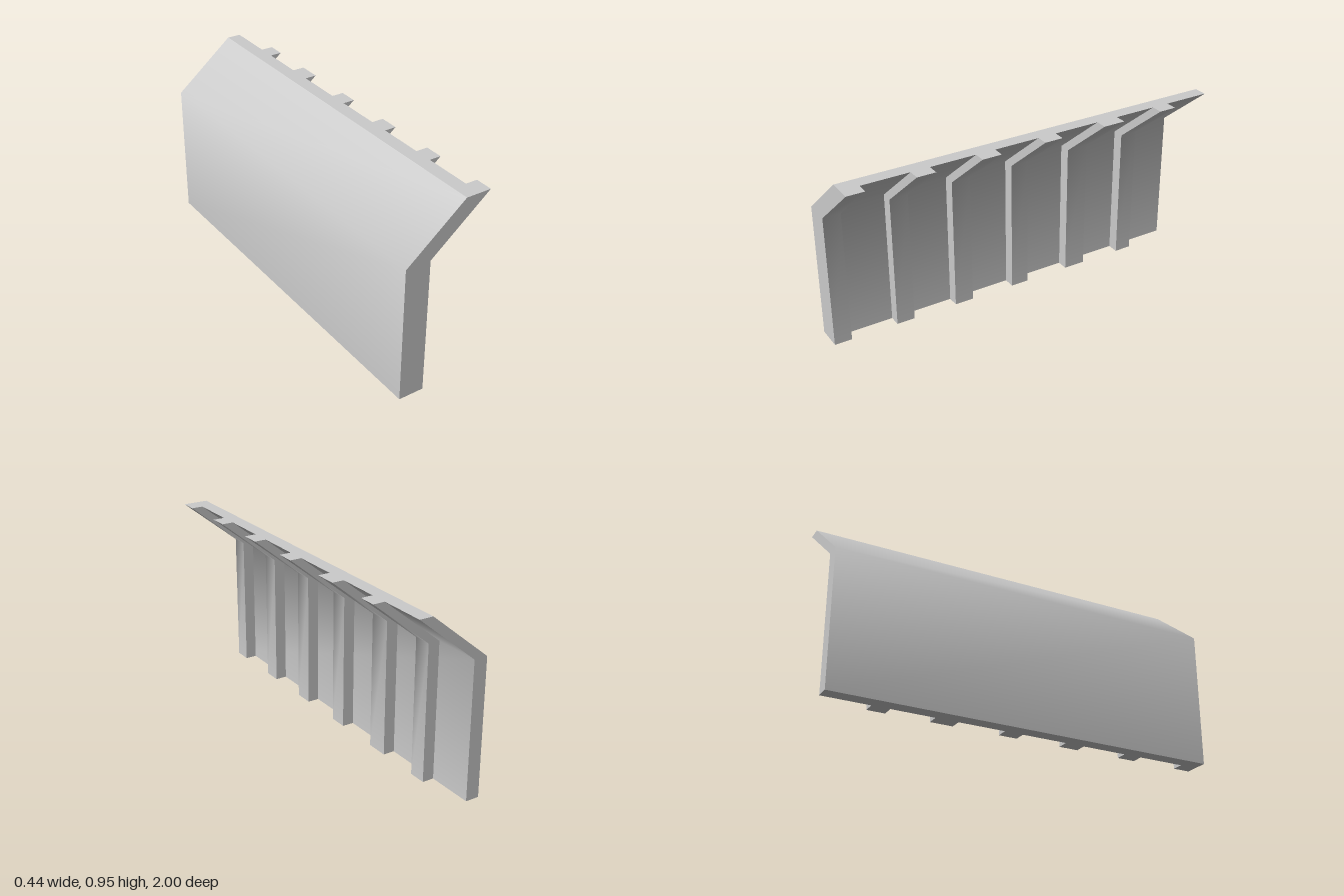
import * as THREE from 'three';
import { toCreasedNormals } from 'three/addons/utils/BufferGeometryUtils.js';

const BEND_Y = 0.7, TOP_Y = 0.95, LEAN = 0.305;

// A slab between x0 and x1 that rises straight, then leans towards +x above the bend
function bentSlab(x0, x1, z0, z1) {
  const profile = new THREE.Shape([
    [x0, 0], [x1, 0], [x1, BEND_Y], [x1 + LEAN, TOP_Y], [x0 + LEAN, TOP_Y], [x0, BEND_Y],
  ].map(([x, y]) => new THREE.Vector2(x, y)));
  const extruded = new THREE.ExtrudeGeometry(profile, { depth: z1 - z0, bevelEnabled: false });
  extruded.translate(0, 0, z0);

  // Smooth across the bend, but keep the top rim sharp
  const geometry = toCreasedNormals(extruded, 0.95);
  const pos = geometry.attributes.position, nor = geometry.attributes.normal;
  const tri = new THREE.Triangle(), n = new THREE.Vector3();
  for (let i = 0; i < pos.count; i += 3) {
    tri.setFromAttributeAndIndices(pos, i, i + 1, i + 2).getNormal(n);
    for (let k = i; k < i + 3; k++) {
      if (pos.getY(k) > TOP_Y - 1e-4) nor.setXYZ(k, n.x, n.y, n.z);
    }
  }
  return geometry;
}

export function createModel() {
  const group = new THREE.Group();
  group.name = 'ribbedWallPanel';
  const material = new THREE.MeshStandardMaterial({ color: 0xcccccc });
  const add = (name, geometry) => {
    const mesh = new THREE.Mesh(geometry, material);
    mesh.name = name;
    group.add(mesh);
  };

  // Continuous bent panel
  add('panel', bentSlab(-0.22, -0.15, -1, 1));

  // Ribs standing out along the inner side
  const ribs = [[-0.76, -0.67], [-0.45, -0.335], [-0.095, 0], [0.235, 0.335], [0.57, 0.665], [0.91, 1]];
  ribs.forEach(([z0, z1], i) => add(`rib${i + 1}`, bentSlab(-0.15, -0.09, z0, z1)));

  return group;
}
